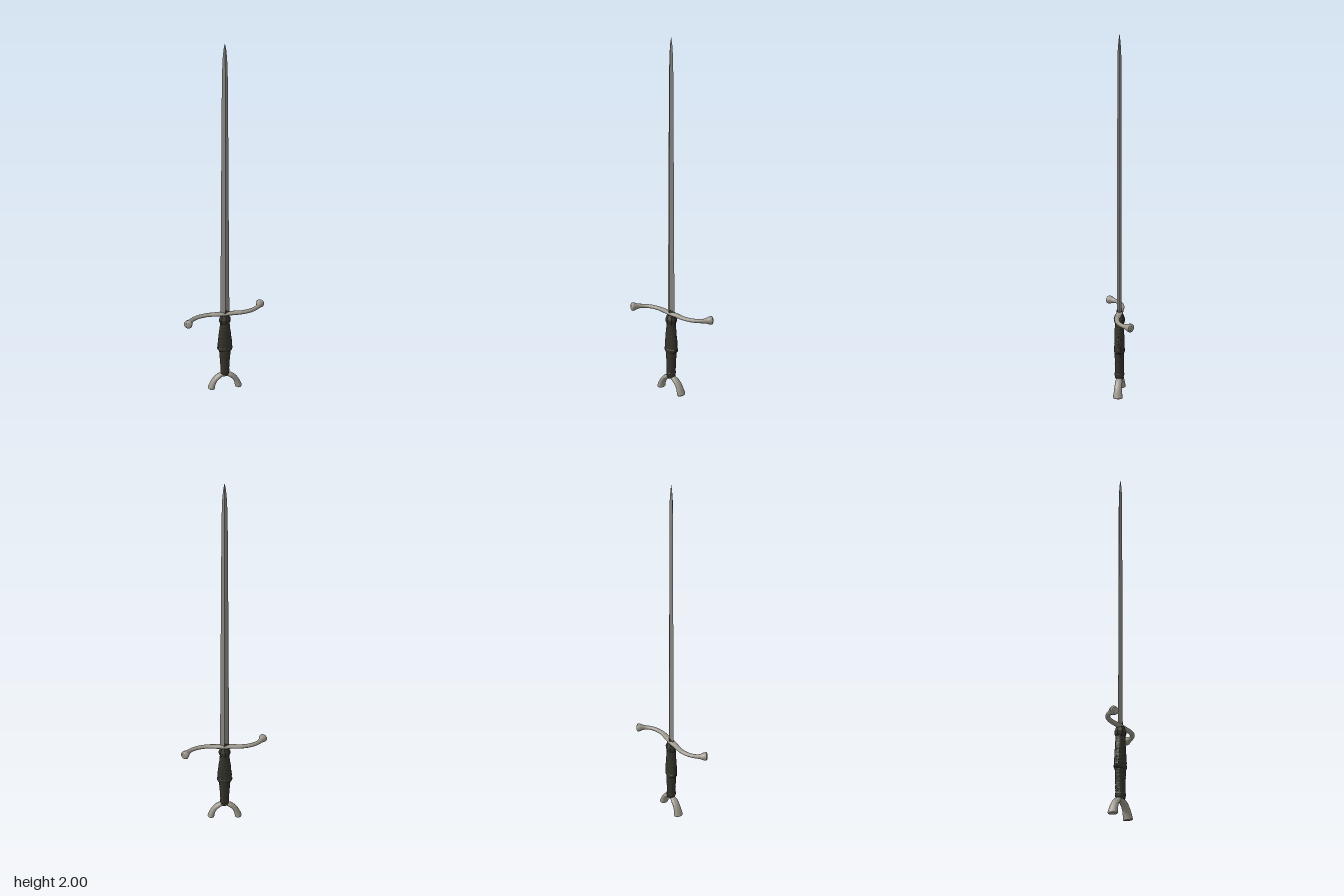
import * as THREE from 'three';

const V = (x, y, z) => new THREE.Vector3(x, y, z);

// Closed solid through elliptical rings {c, u, v}; u x v points along the travel
function loft(rings, n, bump = () => 1) {
  const pos = [], idx = [];
  const put = (p) => pos.push(p.x, p.y, p.z) / 3 - 1;
  const at = (r, i, j) => {
    const a = (j % n) / n * Math.PI * 2, k = bump(a, r.c, i);
    return r.c.clone().addScaledVector(r.u, Math.cos(a) * k).addScaledVector(r.v, Math.sin(a) * k);
  };
  rings.forEach((r, i) => { for (let j = 0; j < n; j++) put(at(r, i, j)); });
  for (let i = 0; i < rings.length - 1; i++) {
    for (let j = 0; j < n; j++) {
      const a = i * n + j, b = i * n + (j + 1) % n;
      idx.push(a, b, a + n, b, b + n, a + n);
    }
  }
  // end caps with their own vertices, so the rims stay sharp
  for (const i of [0, rings.length - 1]) {
    const mid = put(rings[i].c);
    for (let j = 0; j < n; j++) put(at(rings[i], i, j));
    for (let j = 0; j < n; j++) {
      const a = mid + 1 + j, b = mid + 1 + (j + 1) % n;
      if (i === 0) idx.push(mid, b, a); else idx.push(mid, a, b);
    }
  }
  const g = new THREE.BufferGeometry();
  g.setAttribute('position', new THREE.Float32BufferAttribute(pos, 3));
  g.setIndex(idx);
  g.computeVertexNormals();
  return g;
}

// Upright loft from rows of [y, half width, half depth]
function upright(rows, n, bump) {
  return loft(rows.map(([y, w, d]) => ({ c: V(0, y, 0), u: V(0, 0, d), v: V(w, 0, 0) })), n, bump);
}

// Sweep along a planar path; half sizes are blended between the path points
function sweep(points, sizes, axis, steps, n) {
  const path = new THREE.CatmullRomCurve3(points);
  const size = new THREE.CatmullRomCurve3(sizes.map(([a, b]) => V(a, b, 0)));
  const rings = [];
  for (let i = 0; i <= steps; i++) {
    const t = i / steps, s = size.getPoint(t);
    const u = axis.clone().cross(path.getTangent(t)).normalize().multiplyScalar(s.x);
    rings.push({ c: path.getPoint(t), u, v: axis.clone().multiplyScalar(s.y) });
  }
  return loft(rings, n);
}

const flat = (g) => {
  const f = g.toNonIndexed();
  f.computeVertexNormals();
  return f;
};

export function createModel() {
  const model = new THREE.Group();
  const material = (name, color) => {
    const m = new THREE.MeshStandardMaterial({ color });
    m.name = name;
    return m;
  };
  const steel = material('steel', 0x8e8b86);
  const bone = material('paleMetal', 0x9c978c);
  const dark = material('darkGrip', 0x35332a);
  const add = (name, geometry, mat) => {
    const mesh = new THREE.Mesh(geometry, mat);
    mesh.name = name;
    model.add(mesh);
    return mesh;
  };

  // Blade: long diamond section tapering to the point
  add('blade', flat(upright([
    [0.47, 0.026, 0.013], [0.9, 0.0225, 0.0125], [1.4, 0.019, 0.012],
    [1.82, 0.0155, 0.011], [1.92, 0.012, 0.009], [1.97, 0.007, 0.005], [2.0, 0.001, 0.001],
  ], 4)), steel);

  // Crossguard: S-curve, mirrored by a half turn
  const half = [ // x, z, horizontal half size, vertical half size
    [0.045, 0.001, 0.017, 0.011], [0.095, 0.003, 0.0145, 0.0105], [0.15, -0.009, 0.013, 0.0105],
    [0.185, -0.03, 0.012, 0.011], [0.203, -0.049, 0.0125, 0.0125], [0.212, -0.063, 0.016, 0.016],
    [0.22, -0.077, 0.0225, 0.022], [0.226, -0.088, 0.0245, 0.0235], [0.23, -0.094, 0.015, 0.015],
  ];
  const guard = [
    ...half.map(([x, z, a, b]) => [-x, -z, a, b]).reverse(),
    [0, 0, 0.019, 0.012],
    ...half,
  ];
  add('crossguard', sweep(
    guard.map(([x, z]) => V(x, 0.478, z)), guard.map((p) => p.slice(2)), V(0, 1, 0), 72, 16), bone);

  // Dark diamond socket round the blade root
  add('bladeSocket', flat(upright([[0.465, 0.03, 0.017], [0.488, 0.028, 0.016], [0.505, 0.008, 0.0135]], 4)), dark);

  // Grip: waisted handle with carved ridges
  const outline = [
    [0.09, 0.023, 0.024], [0.12, 0.025, 0.026], [0.19, 0.029, 0.026], [0.242, 0.034, 0.027],
    [0.25, 0.031, 0.026], [0.26, 0.043, 0.029], [0.3, 0.041, 0.029], [0.36, 0.034, 0.027],
    [0.425, 0.026, 0.025],
  ];
  const rows = [];
  for (let i = 0; i < outline.length - 1; i++) {
    const [p, q] = [outline[i], outline[i + 1]];
    const parts = Math.max(1, Math.round((q[0] - p[0]) / 0.008));
    for (let k = 0; k < parts; k++) rows.push(p.map((c, m) => c + (q[m] - c) * k / parts));
  }
  rows.push(outline[outline.length - 1]);
  const carved = (a, c) => 1 + 0.035 * Math.sin(c.y * 210 + a * 2) * Math.cos(a * 4 - c.y * 90);
  add('grip', flat(upright(rows, 16, carved)), dark);

  // Grip collars
  add('upperCollar', flat(upright([
    [0.418, 0.026, 0.026], [0.43, 0.033, 0.03], [0.447, 0.034, 0.032], [0.458, 0.028, 0.028], [0.472, 0.025, 0.022],
  ], 8)), dark);
  add('middleCollar', flat(upright([
    [0.246, 0.036, 0.028], [0.254, 0.044, 0.031], [0.266, 0.045, 0.031], [0.272, 0.04, 0.028],
  ], 12)), dark);
  add('lowerCollar', flat(upright([
    [0.096, 0.023, 0.023], [0.104, 0.026, 0.027], [0.118, 0.027, 0.028], [0.126, 0.024, 0.025],
  ], 12)), dark);

  // Pommel: open arch with flared feet
  const leg = [ // x, y, half thickness, half depth
    [0.028, 0.082, 0.014, 0.02], [0.053, 0.063, 0.0145, 0.021], [0.069, 0.038, 0.016, 0.023],
    [0.077, 0.016, 0.0185, 0.026], [0.08, 0.005, 0.02, 0.027], [0.0805, 0.001, 0.017, 0.023],
  ];
  const arch = [
    ...leg.map(([x, ...r]) => [-x, ...r]).reverse(),
    [0, 0.089, 0.014, 0.02],
    ...leg,
  ];
  add('pommelArch', sweep(
    arch.map(([x, y]) => V(x, y, 0)), arch.map((p) => p.slice(2)), V(0, 0, 1), 48, 16), bone);

  return model;
}
